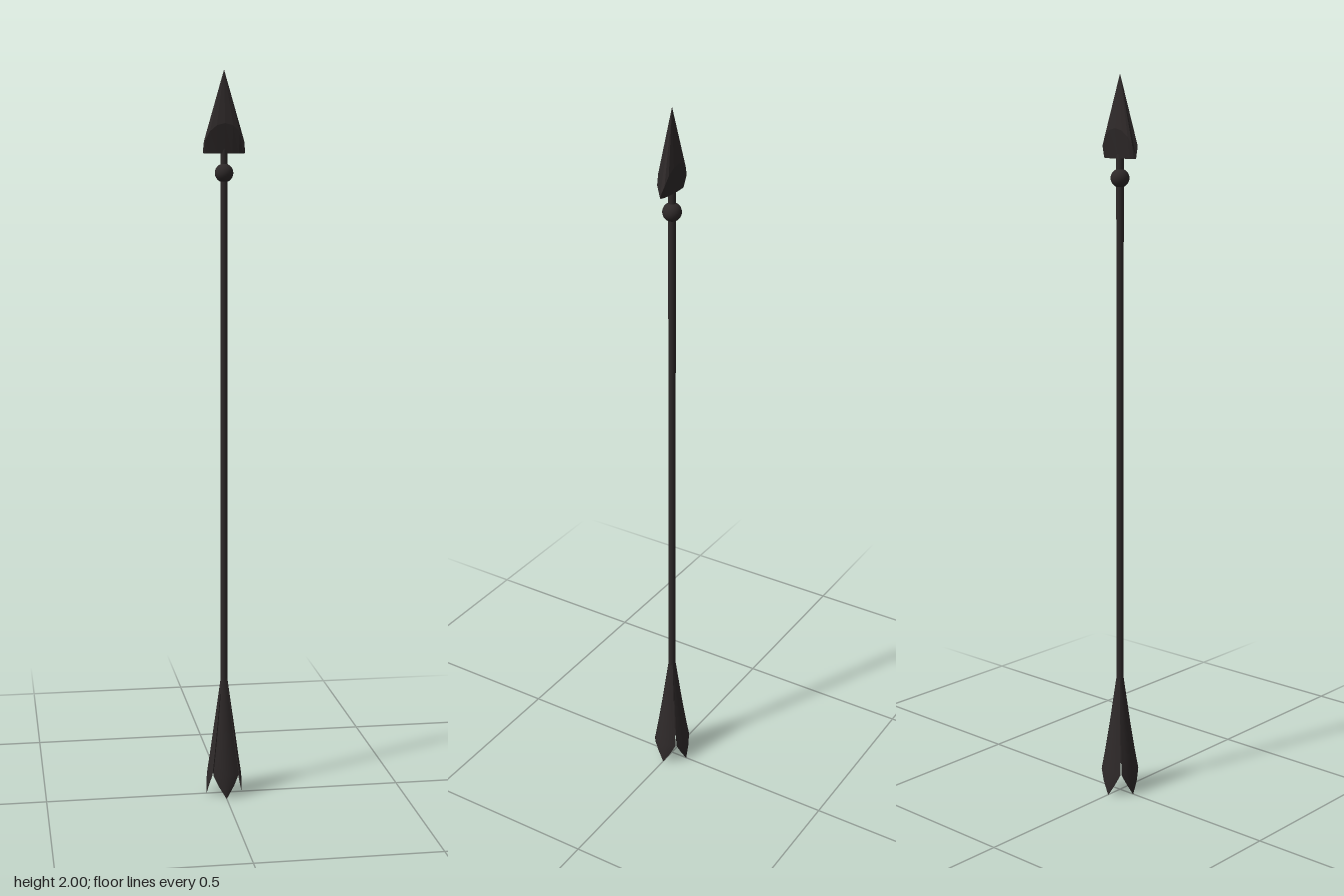
import * as THREE from 'three';

const material = new THREE.MeshStandardMaterial({ color: 0x2e2929, flatShading: true });
const smooth = new THREE.MeshStandardMaterial({ color: 0x2e2929 });
const thin = new THREE.MeshStandardMaterial({ color: 0x2e2929, side: THREE.DoubleSide });

function add(group, name, geometry, mat) {
  const mesh = new THREE.Mesh(geometry, mat);
  mesh.name = name;
  group.add(mesh);
  return mesh;
}

// Joins equal-length rows of [x, y, z] points into a surface.
function loft(rows, closed) {
  const n = rows[0].length;
  const index = [];
  for (let r = 0; r < rows.length - 1; r++) {
    for (let i = 0; i < (closed ? n : n - 1); i++) {
      const j = (i + 1) % n;
      const a = r * n + i, b = r * n + j, c = a + n, d = b + n;
      index.push(a, b, c, b, d, c);
    }
  }
  const geometry = new THREE.BufferGeometry();
  geometry.setAttribute('position', new THREE.Float32BufferAttribute(rows.flat(2), 3));
  geometry.setIndex(index);
  geometry.computeVertexNormals();
  return geometry;
}

// Blade: a wide flat triangle, thickest where its arched shoulder meets the bevelled base.
function headGeometry() {
  const sides = 16;
  const ring = (point) => Array.from({ length: sides }, (_, i) => {
    const a = -i / sides * Math.PI * 2;
    return point(Math.cos(a), Math.sin(a));
  });
  const shoulder = ring((c, s) => [0.057 * c, 1.785 + 0.075 * Math.sqrt(1 - c * c), 0.005 * Math.sign(Math.round(s * 1e6)) + 0.015 * s]);
  const base = ring((c, s) => [0.055 * c, 1.781, 0.008 * s]);
  const centre = ring(() => [0, 1.781, 0]);
  const apex = ring(() => [0, 2, 0]);
  return loft([centre, base, shoulder, apex], true);
}

// Vane: a bowed leaf leaning away from the shaft, pointed at the bottom.
function vaneGeometry() {
  // height, centre distance, half width, edge distance
  const profile = [
    [0, 0.05, 0.001, 0.05], [0.035, 0.05, 0.022, 0.045], [0.065, 0.047, 0.036, 0.038],
    [0.12, 0.039, 0.029, 0.031], [0.2, 0.028, 0.02, 0.022], [0.335, 0.009, 0.007, 0.008],
  ];
  const steps = 6;
  return loft(profile.map(([y, centre, half, edge]) =>
    Array.from({ length: steps + 1 }, (_, i) => {
      const t = i / steps * 2 - 1;
      return [half * t, y, centre + (edge - centre) * t * t];
    })), false);
}

export function createModel() {
  const arrow = new THREE.Group();
  arrow.name = 'arrow';

  // Shaft, running into the blade
  const shaft = add(arrow, 'shaft', new THREE.CylinderGeometry(0.01, 0.01, 1.6, 16), smooth);
  shaft.position.y = 1.0;

  // Round collar below the blade
  const collar = add(arrow, 'collar', new THREE.SphereGeometry(0.025, 24, 16), smooth);
  collar.position.y = 1.73;

  add(arrow, 'head', headGeometry(), material);

  // Four vanes around the tail
  const vanes = new THREE.Group();
  vanes.name = 'fletching';
  const vane = vaneGeometry();
  for (let i = 0; i < 4; i++) add(vanes, 'vane', vane, thin).rotation.y = i * Math.PI / 2;
  arrow.add(vanes);

  return arrow;
}
